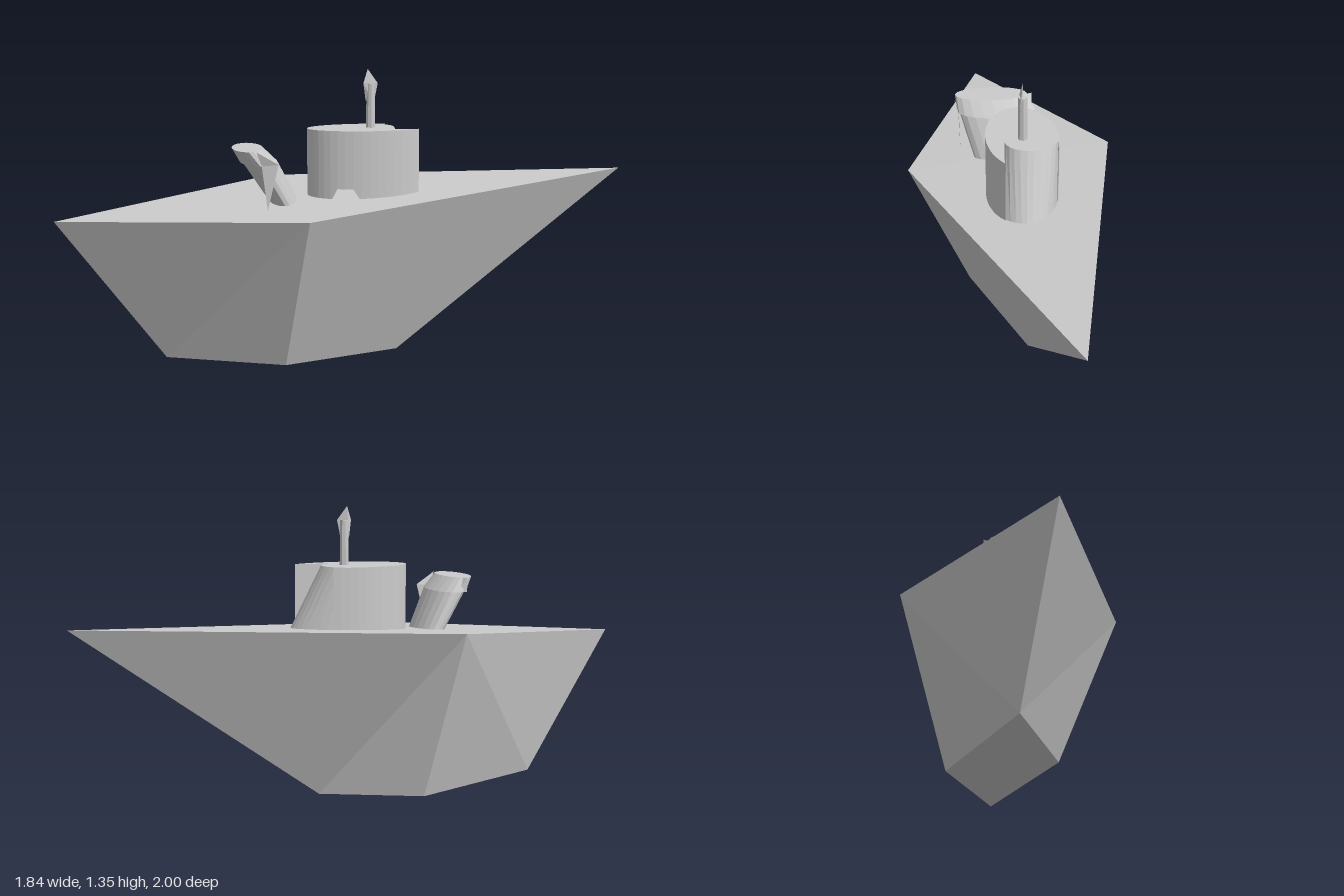
import * as THREE from 'three';

const grey = new THREE.MeshStandardMaterial({ color: 0xcccccc, flatShading: true, side: THREE.DoubleSide });

const V = (x, y, z) => new THREE.Vector3(x, y, z);

function addMesh(group, name, geometry) {
  geometry.computeVertexNormals();
  const mesh = new THREE.Mesh(geometry, grey);
  mesh.name = name;
  group.add(mesh);
}

// Geometry from corner points and triangle indices, with hard facets
function facets(points, index) {
  const g = new THREE.BufferGeometry().setFromPoints(points);
  g.setIndex(index);
  return g.toNonIndexed();
}

// Wall joining closed cross-sections that hold equally many points
function loft(rings, capLast = false) {
  const n = rings[0].length;
  const index = [];
  for (let r = 0; r + 1 < rings.length; r++) {
    for (let i = 0; i < n; i++) {
      const a = r * n + i, b = r * n + (i + 1) % n;
      index.push(a, a + n, b, b, a + n, b + n);
    }
  }
  if (capLast) {
    const s = (rings.length - 1) * n;
    for (let i = 1; i + 1 < n; i++) index.push(s, s + i + 1, s + i);
  }
  return facets(rings.flat(), index);
}

const deckY = (z) => 0.77 - 0.07 * z;

export function createModel() {
  const model = new THREE.Group();
  model.name = 'boat';

  // Hull: small keel quad below, large kite-shaped deck above
  const hullPoints = [
    V(-0.64, 0.02, 0.6), V(-0.1, 0.02, 0.4), V(0.15, 0, -0.16), V(-0.33, 0.01, -0.03),
    V(-0.92, 0.695, 1), V(0.15, 0.73, 0.56), V(0.92, 0.84, -1), V(-0.56, 0.795, -0.12),
  ];
  addMesh(model, 'hull', facets(hullPoints, [
    0, 1, 5, 0, 5, 4, 1, 2, 5, 2, 6, 5, 2, 3, 7, 2, 7, 6, 3, 0, 7, 0, 4, 7,
    4, 5, 7, 5, 6, 7, 0, 3, 2, 0, 2, 1,
  ]));

  // Tower: skewed oval wall with a sloping recess at its back left
  const top = 1.075;
  const rad = Math.PI / 180;
  const oval = (deg, y) => {
    const z = -0.05 + 0.225 * Math.sin((deg - 29) * rad);
    return V(0.05 + 0.235 * Math.cos(deg * rad), y ?? deckY(z) - 0.012, z);
  };
  const lower = [], upper = [];
  const wallSteps = 32, recessSteps = 12;
  for (let i = 0; i <= wallSteps; i++) {
    const deg = 8 + (258 * i) / wallSteps;
    const p = oval(deg);
    // small arch in the foot of the front wall
    if (p.z > 0 && p.x > 0.02 && p.x < 0.1) p.y = 0.81;
    lower.push(p);
    upper.push(oval(deg, top));
  }
  for (let i = 0; i <= recessSteps; i++) {
    const f = i / recessSteps, c = Math.cos(f * Math.PI), s = Math.sin(f * Math.PI);
    lower.push(oval(266 + 102 * f));
    upper.push(V(0.05 - 0.085 * c + 0.07 * s, top, -0.1 - 0.085 * c - 0.07 * s));
  }
  addMesh(model, 'towerWall', loft([lower, upper]));
  const roof = new THREE.ShapeGeometry(new THREE.Shape(upper.map((p) => new THREE.Vector2(p.x, p.z))));
  roof.rotateX(Math.PI / 2).translate(0, top, 0);
  addMesh(model, 'towerRoof', roof);

  // Mast with a ragged pointed tip
  addMesh(model, 'mast', new THREE.CylinderGeometry(0.02, 0.022, 0.21, 8).translate(0.062, 1.175, -0.062));
  addMesh(model, 'mastTip', facets([
    V(0.045, 1.2, -0.045), V(0.092, 1.28, -0.075), V(0.05, 1.345, -0.055), V(0.042, 1.28, -0.03), V(0.08, 1.19, -0.06),
  ], [0, 1, 2, 0, 2, 3, 0, 4, 1, 3, 2, 1, 3, 1, 4, 3, 4, 0]));

  // Funnel: thin oval leaning outwards; u runs along it, w across it
  const funnelRing = (y, u0, hu, w0, hw) => {
    const ring = [];
    for (let i = 0; i < 20; i++) {
      const a = (i / 20) * Math.PI * 2;
      const u = u0 + hu * Math.cos(a), w = w0 + hw * Math.sin(a);
      const z = 0.766 * u + 0.643 * w;
      ring.push(V(0.643 * u - 0.766 * w, y ?? deckY(z) - 0.01, z));
    }
    return ring;
  };
  addMesh(model, 'funnel', loft([
    funnelRing(null, 0.03, 0.17, 0.32, 0.065),
    funnelRing(0.94, 0.085, 0.185, 0.435, 0.08),
  ]));
  addMesh(model, 'funnelCap', loft([
    funnelRing(0.94, 0.09, 0.19, 0.44, 0.085),
    funnelRing(1.005, 0.115, 0.175, 0.49, 0.07),
  ], true));

  // Pointed flaps at the two ends of the funnel
  addMesh(model, 'frontFlap', facets([
    V(-0.16, 1.005, 0.52), V(-0.1, 0.945, 0.44), V(-0.14, 0.74, 0.47), V(-0.155, 0.94, 0.49),
  ], [0, 3, 1, 3, 2, 1]));
  addMesh(model, 'backFlap', facets([
    V(-0.43, 1.005, 0.25), V(-0.43, 0.94, 0.25), V(-0.39, 0.94, 0.22), V(-0.36, 1.005, 0.29),
  ], [0, 1, 2, 0, 2, 3]));

  return model;
}
